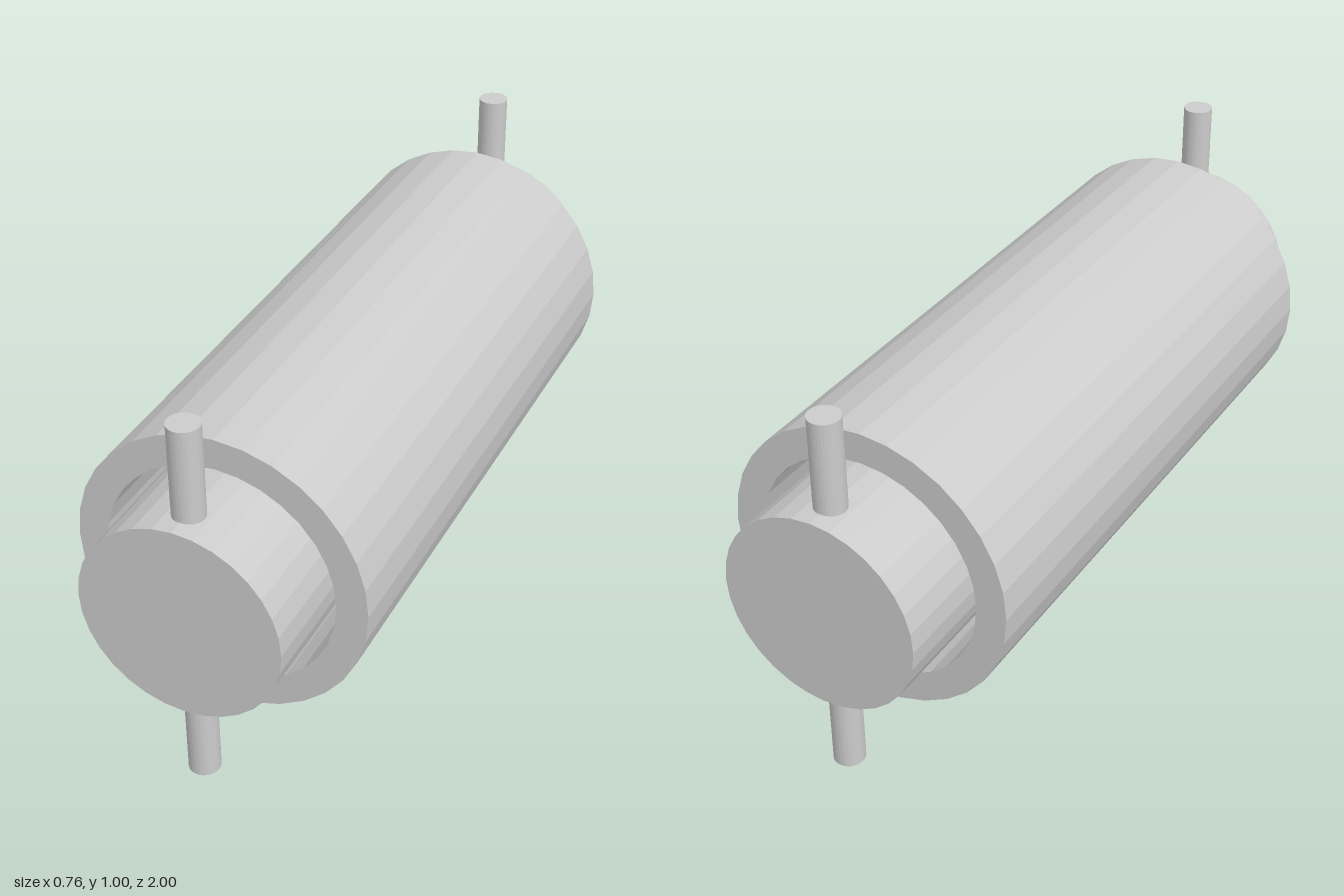
import * as THREE from 'three';

const SIDES = 32;
const AXIS_Y = 0.5;

export function createModel() {
  const model = new THREE.Group();
  const material = new THREE.MeshStandardMaterial({ color: 0xcccccc, flatShading: true });

  const add = (name, geometry, y, z) => {
    const mesh = new THREE.Mesh(geometry, material);
    mesh.name = name;
    mesh.position.set(0, y, z);
    model.add(mesh);
  };

  // Solid shaft running the full length
  add('shaft', new THREE.CylinderGeometry(0.26, 0.26, 2, SIDES).rotateX(Math.PI / 2), AXIS_Y, 0);

  // Hollow sleeve around the shaft, open gap between them
  const profile = [[0.3, -0.8], [0.38, -0.8], [0.38, 0.8], [0.3, 0.8], [0.3, -0.8]]
    .map(([r, h]) => new THREE.Vector2(r, h));
  add('sleeve', new THREE.LatheGeometry(profile, SIDES).rotateX(Math.PI / 2), AXIS_Y, 0);

  // Vertical cross pins through both shaft ends
  for (const [name, z] of [['frontPin', 0.92], ['backPin', -0.92]]) {
    add(name, new THREE.CylinderGeometry(0.04, 0.04, 1, SIDES), AXIS_Y, z);
  }

  return model;
}
